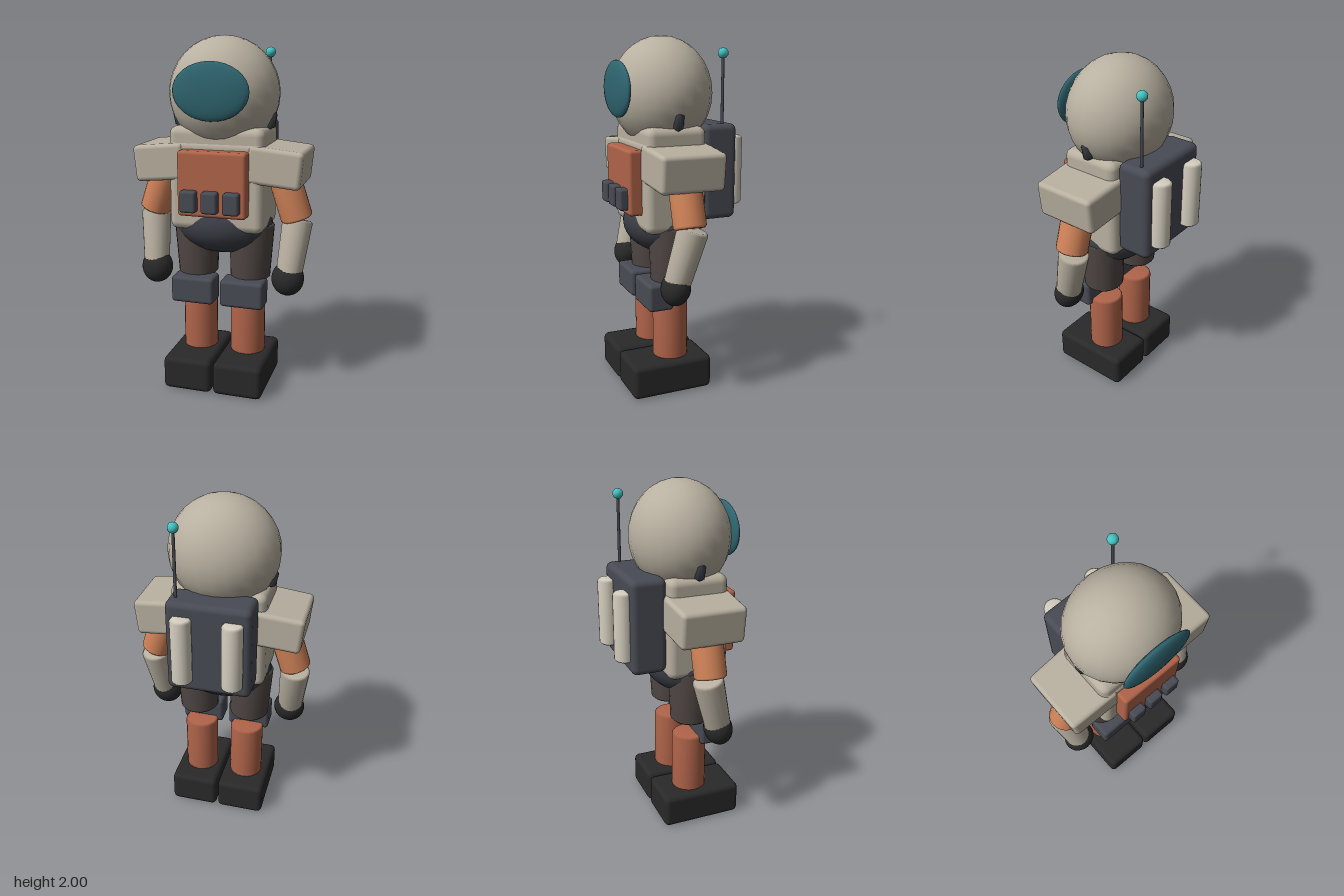
import * as THREE from 'three';
import { RoundedBoxGeometry } from 'three/addons/geometries/RoundedBoxGeometry.js';

const paint = (color) => new THREE.MeshStandardMaterial({ color });
const suit = paint(0xb8b0a0), pale = paint(0xd6cfc0), rust = paint(0xb0644a), orange = paint(0xcf8258);
const slate = paint(0x484b54), brown = paint(0x504744), black = paint(0x29292a);
const glass = paint(0x2f6570), teal = paint(0x45c4c4), dark = paint(0x3b3d45);

export function createModel() {
  const model = new THREE.Group();
  model.name = 'spaceExplorer';

  const add = (name, geometry, material, x, y, z) => {
    const mesh = new THREE.Mesh(geometry, material);
    mesh.name = name;
    mesh.position.set(x, y, z);
    model.add(mesh);
    return mesh;
  };
  const box = (name, mat, size, pos, radius = 0.025) =>
    add(name, new RoundedBoxGeometry(...size, 2, radius), mat, ...pos);
  const ball = (name, mat, radii, pos) => {
    const geometry = new THREE.SphereGeometry(1, 24, 16);
    geometry.scale(...radii);
    return add(name, geometry, mat, ...pos);
  };
  // Limb from a top point to a bottom point, with softened rims
  const limb = (name, mat, top, bottom, rTop, rBottom, bevel = 0.012) => {
    const a = new THREE.Vector3(...top), b = new THREE.Vector3(...bottom);
    const h = a.distanceTo(b) / 2;
    const profile = [
      [0, -h], [rBottom - bevel, -h], [rBottom, -h + bevel],
      [rTop, h - bevel], [rTop - bevel, h], [0, h],
    ].map(([x, y]) => new THREE.Vector2(x, y));
    const mid = a.clone().add(b).multiplyScalar(0.5);
    const mesh = add(name, new THREE.LatheGeometry(profile, 20), mat, mid.x, mid.y, mid.z);
    mesh.quaternion.setFromUnitVectors(new THREE.Vector3(0, 1, 0), a.sub(b).normalize());
    return mesh;
  };

  // Helmet and visor
  ball('helmet', suit, [0.31, 0.31, 0.28], [0, 1.69, 0.062]);
  ball('visor', glass, [0.21, 0.155, 0.034], [0, 1.715, 0.321]);

  // Body
  box('torso', suit, [0.54, 0.51, 0.355], [0, 1.195, 0.075], 0.045);
  box('collar', suit, [0.54, 0.16, 0.345], [0, 1.44, 0.072], 0.045);
  ball('pelvis', dark, [0.285, 0.17, 0.21], [0, 0.955, 0.068]);

  // Chest panel with three keys
  box('chestPanel', rust, [0.385, 0.36, 0.09], [0, 1.22, 0.28], 0.018);
  for (const x of [-0.12, 0, 0.12]) box('panelKey', slate, [0.09, 0.12, 0.07], [x, 1.13, 0.335], 0.014);

  // Backpack with tanks and aerial
  box('backpack', slate, [0.47, 0.535, 0.2], [0, 1.257, -0.2], 0.035);
  for (const s of [-1, 1]) limb('airTank', pale, [s * 0.14, 1.45, -0.315], [s * 0.14, 1.06, -0.315], 0.058, 0.058);
  limb('aerial', slate, [0.19, 1.9, -0.225], [0.19, 1.5, -0.225], 0.008, 0.009, 0.001);
  add('aerialTip', new THREE.IcosahedronGeometry(0.03, 1), teal, 0.19, 1.905, -0.225);

  // Paired parts
  for (const s of [-1, 1]) {
    // Shoulder pad, narrowing towards its outer end
    const pad = box('shoulderPad', suit, [0.3, 0.205, 0.385], [s * 0.325, 1.315, 0.068], 0.025);
    const p = pad.geometry.attributes.position;
    for (let i = 0; i < p.count; i++) p.setZ(i, p.getZ(i) * (0.97 - s * p.getX(i) * 0.17));
    pad.rotation.z = -s * 0.1;

    // Arm
    limb('upperArm', orange, [s * 0.335, 1.28, 0.072], [s * 0.425, 1.005, 0.072], 0.09, 0.09);
    limb('forearm', suit, [s * 0.425, 1.0, 0.055], [s * 0.397, 0.7, 0.135], 0.086, 0.074);
    const hand = ball('hand', black, [0.092, 0.097, 0.08], [s * 0.392, 0.677, 0.14]);
    hand.rotation.x = -0.2;

    // Leg
    limb('thigh', brown, [s * 0.165, 0.97, 0.07], [s * 0.157, 0.645, 0.07], 0.13, 0.115);
    box('kneePad', slate, [0.25, 0.155, 0.145], [s * 0.145, 0.58, 0.17], 0.02);
    limb('shin', rust, [s * 0.145, 0.545, 0.07], [s * 0.145, 0.17, 0.07], 0.1, 0.1);
    box('boot', black, [0.285, 0.195, 0.475], [s * 0.148, 0.0975, 0.105], 0.03);

    // Small fin beside the helmet
    const fin = new THREE.LatheGeometry(
      [[0, -0.08], [0.028, -0.06], [0.028, 0.01], [0.006, 0.035], [0.003, 0.08], [0, 0.08]]
        .map(([x, y]) => new THREE.Vector2(x, y)), 10);
    add('helmetFin', fin, dark, s * 0.272, 1.575, 0.07).rotation.z = -s * 0.2;
  }
  return model;
}
